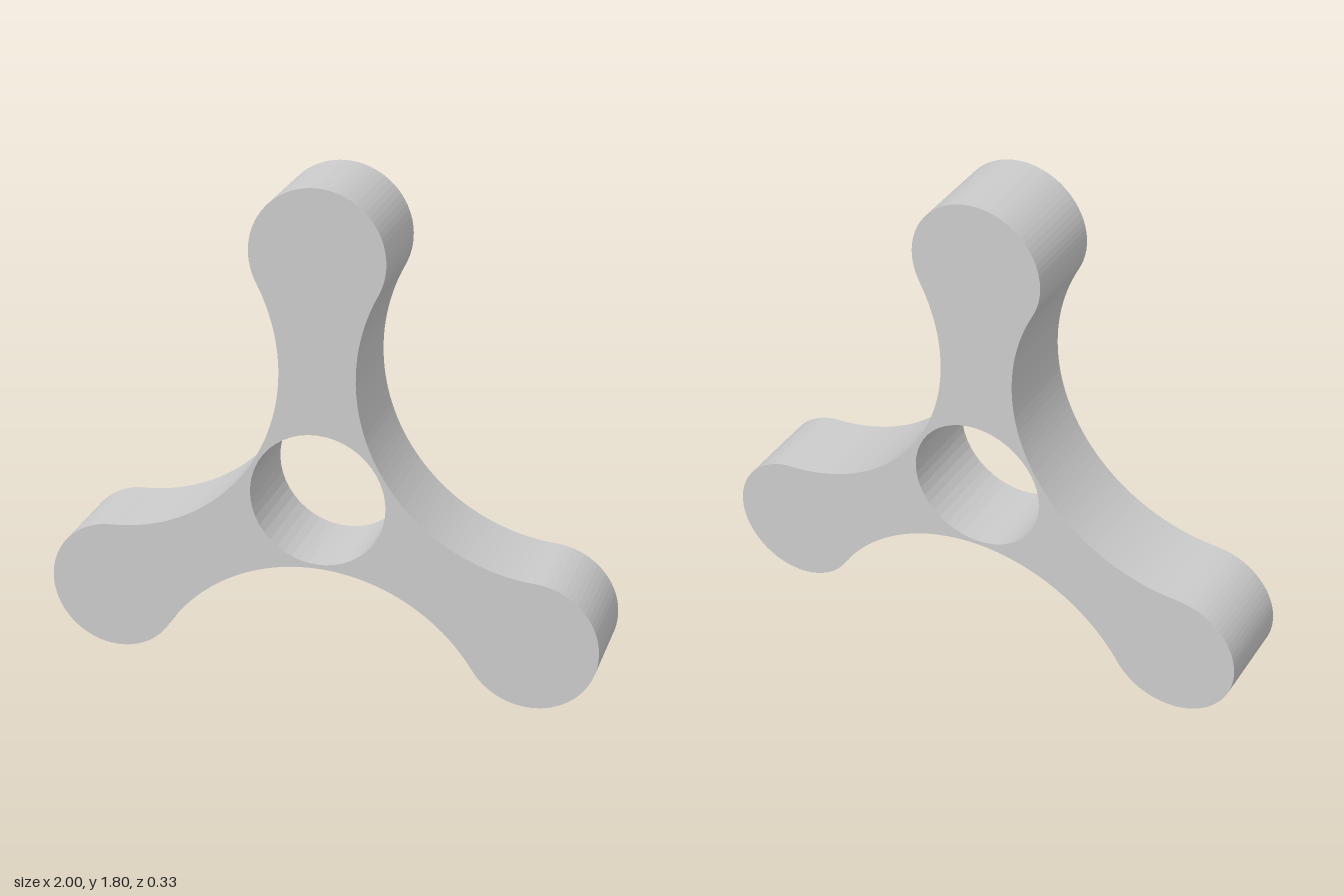
import * as THREE from 'three';

const CENTRE_Y = 0.681;  // height of the hub axis
const ARM = 0.88;        // hub axis to lobe centre
const LOBE_R = 0.239;
const HOLE_R = 0.244;
const RIM = 0.26;        // hub axis to the nearest point of the outer edge
const DEPTH = 0.328;

export function createModel() {
  const group = new THREE.Group();
  group.name = 'threeArmSpinner';

  // Radius of the concave edge that touches two neighbouring lobes and the rim
  const along = ARM * Math.cos(Math.PI / 3);
  const across = ARM * Math.sin(Math.PI / 3);
  const waistR = (across ** 2 + (along - RIM) ** 2 - LOBE_R ** 2)
    / (2 * (LOBE_R + along - RIM));
  const waistDist = RIM + waistR;
  const polar = (r, a) => new THREE.Vector2(r * Math.cos(a), r * Math.sin(a));

  // Outline: a convex lobe, then a concave waist, three times around
  const outline = new THREE.Shape();
  for (let k = 0; k < 3; k++) {
    const a = Math.PI / 2 + k * Math.PI * 2 / 3;
    const lobe = polar(ARM, a);
    const next = polar(ARM, a + Math.PI * 2 / 3);
    const before = polar(waistDist, a - Math.PI / 3);
    const after = polar(waistDist, a + Math.PI / 3);
    const angle = (from, to) => Math.atan2(to.y - from.y, to.x - from.x);
    outline.absarc(lobe.x, lobe.y, LOBE_R, angle(lobe, before), angle(lobe, after), false);
    outline.absarc(after.x, after.y, waistR, angle(after, lobe), angle(after, next), true);
  }

  // Round bearing hole through the hub
  const hole = new THREE.Path();
  hole.absarc(0, 0, HOLE_R, 0, Math.PI * 2, true);
  outline.holes.push(hole);

  const geometry = new THREE.ExtrudeGeometry(outline, {
    depth: DEPTH, bevelEnabled: false, curveSegments: 24,
  });
  geometry.translate(0, CENTRE_Y, -DEPTH / 2);

  const body = new THREE.Mesh(geometry, new THREE.MeshStandardMaterial({ color: 0xcccccc }));
  body.name = 'spinnerBody';
  group.add(body);
  return group;
}
